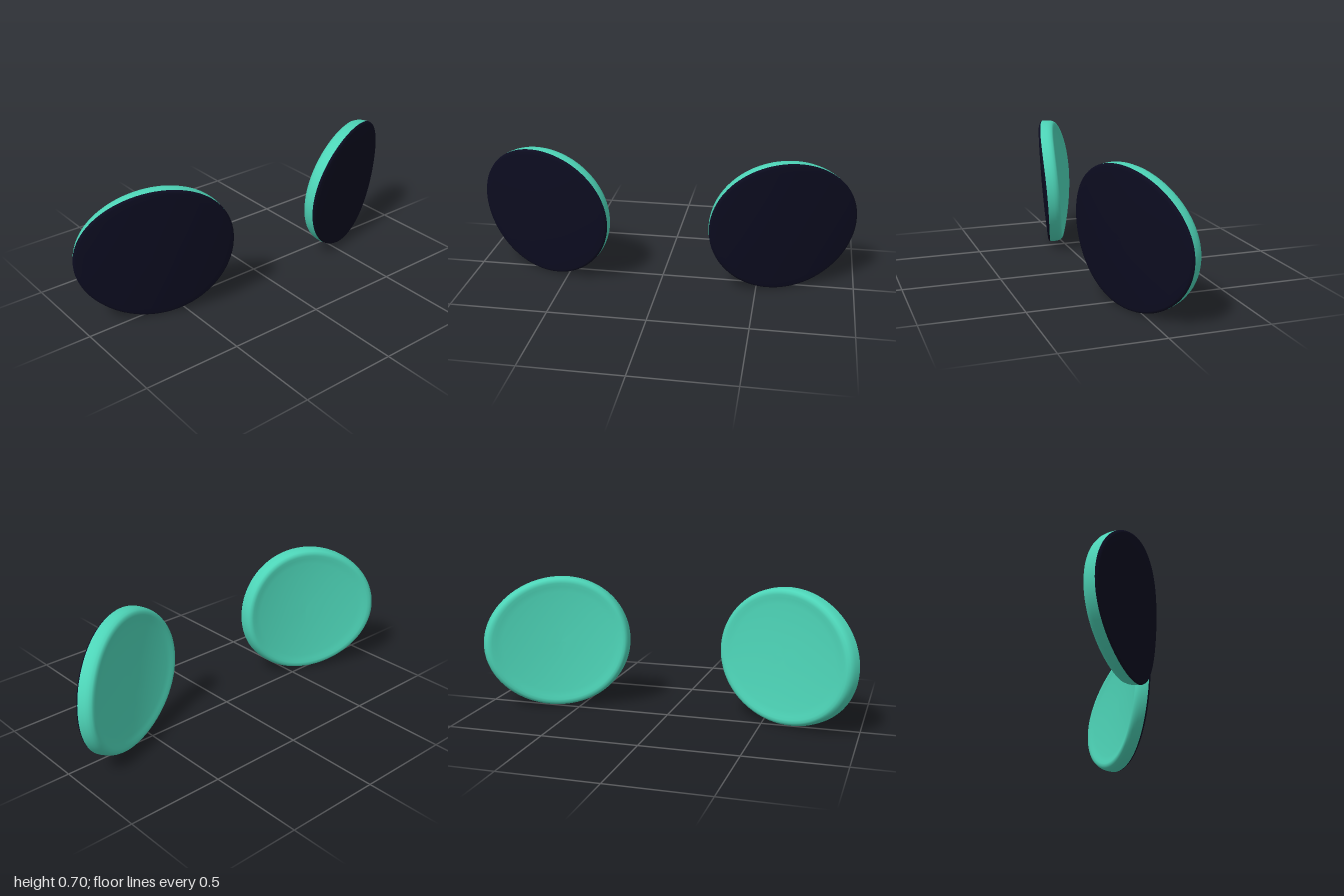
import * as THREE from 'three';

const CX = 0.63, CY = 0.35, RX = 0.37, RY = 0.35, SEGMENTS = 96;

// Point of the wrapped lens: r, angle on the oval, depth measured behind the front surface
function lensPoint(r, angle, depth) {
  const u = r * Math.cos(angle), v = r * Math.sin(angle);
  const z = 0.085 - 0.145 * u - 0.05 * u * u + 0.028 * v - 0.01 * v * v;
  const slopeX = (-0.145 - 0.1 * u) / RX, slopeY = (0.028 - 0.02 * v) / RY;
  const normal = new THREE.Vector3(-slopeX, -slopeY, 1).normalize();
  return new THREE.Vector3(CX + RX * u, CY + RY * v, z).addScaledVector(normal, -depth);
}

// Skin over oval rings [r, depth] listed from the front centre to the back centre
function lensSkin(rings, side) {
  const positions = [], index = [];
  for (const [r, depth] of rings) {
    for (let i = 0; i < SEGMENTS; i++) {
      const p = lensPoint(r, (i / SEGMENTS) * Math.PI * 2, depth);
      positions.push(side * p.x, p.y, p.z);
    }
  }
  const triangle = (a, b, c) => (side > 0 ? index.push(a, b, c) : index.push(a, c, b));
  for (let k = 0; k < rings.length - 1; k++) {
    for (let i = 0; i < SEGMENTS; i++) {
      const j = (i + 1) % SEGMENTS;
      const a = k * SEGMENTS + i, b = k * SEGMENTS + j, c = a + SEGMENTS, d = b + SEGMENTS;
      if (rings[k][0] > 0) triangle(a, d, b);
      if (rings[k + 1][0] > 0) triangle(a, c, d);
    }
  }
  const geometry = new THREE.BufferGeometry();
  geometry.setAttribute('position', new THREE.Float32BufferAttribute(positions, 3));
  geometry.setIndex(index);
  geometry.computeVertexNormals();
  return geometry;
}

export function createModel() {
  const darkGlass = new THREE.MeshStandardMaterial({ color: 0x0c0c20 });
  const tealShell = new THREE.MeshStandardMaterial({ color: 0x4dd4b7 });

  // Dark front face, ending just around the front edge
  const frontRings = [0, 0.15, 0.3, 0.45, 0.6, 0.75, 0.88, 0.96].map((r) => [r, 0]);
  frontRings.push([0.985, 0.003], [0.997, 0.01]);

  // Teal rim with a rounded back edge, and the hollow back
  const shellRings = [
    [0.997, 0.01], [1, 0.022], [1, 0.045], [0.993, 0.06], [0.978, 0.073], [0.95, 0.081],
    [0.91, 0.082], [0.86, 0.079], [0.78, 0.077], [0.6, 0.076], [0.4, 0.075], [0.2, 0.075], [0, 0.075],
  ];

  const model = new THREE.Group();
  model.name = 'lensPair';
  for (const side of [1, -1]) {
    const lens = new THREE.Group();
    lens.name = side > 0 ? 'leftLens' : 'rightLens';
    const front = new THREE.Mesh(lensSkin(frontRings, side), darkGlass);
    front.name = 'lensFront';
    const shell = new THREE.Mesh(lensSkin(shellRings, side), tealShell);
    shell.name = 'lensRimAndBack';
    lens.add(front, shell);
    model.add(lens);
  }
  return model;
}
